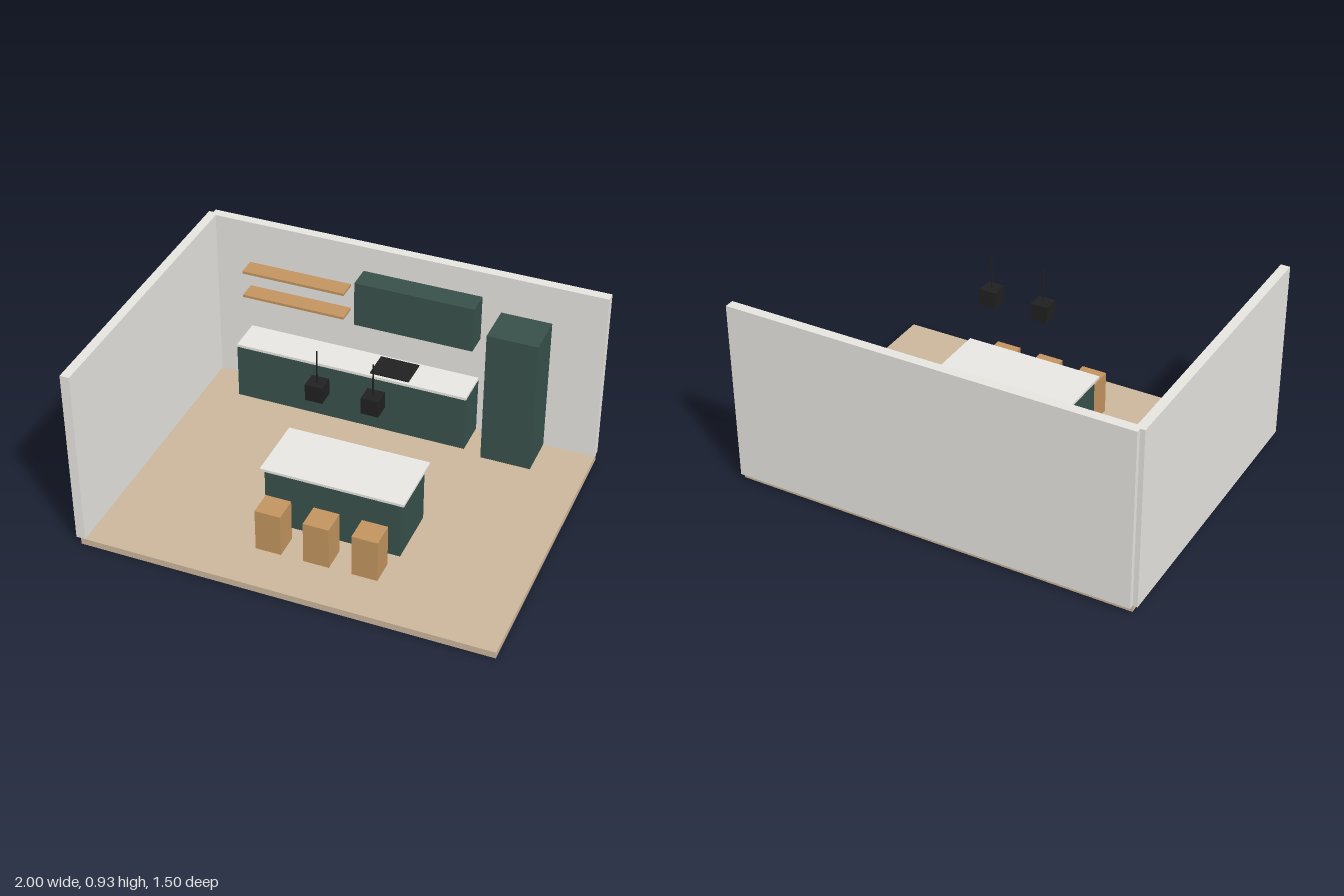
import * as THREE from 'three';

const mat = (name, color) => Object.assign(new THREE.MeshStandardMaterial({ color }), { name });

export function createModel() {
  const room = new THREE.Group();
  room.name = 'kitchen';

  const wall = mat('wall white', 0xe6e4df);
  const stone = mat('counter white', 0xe7e6e2);
  const green = mat('cabinet green', 0x38504a);
  const wood = mat('oak', 0xc2945f);
  const boards = mat('floor tan', 0xcab69b);
  const black = mat('black', 0x202020);

  // Box given by its extents along each axis
  const box = (name, material, [x0, x1], [y0, y1], [z0, z1], parent = room) => {
    const mesh = new THREE.Mesh(new THREE.BoxGeometry(x1 - x0, y1 - y0, z1 - z0), material);
    mesh.position.set((x0 + x1) / 2, (y0 + y1) / 2, (z0 + z1) / 2);
    mesh.name = name;
    parent.add(mesh);
    return mesh;
  };

  const ground = 0.033; // top of the floor slab
  const back = -0.705;  // inner face of the back wall

  // Shell
  box('floor', boards, [-0.977, 1], [0, ground], [-0.728, 0.7525]);
  box('backWall', wall, [-0.977, 1], [ground, 0.925], [-0.7525, back]);
  box('leftWall', wall, [-1, -0.955], [ground, 0.925], [-0.728, 0.7525]);

  // Wall run
  box('baseCabinet', green, [-0.78, 0.403], [ground, 0.32], [back, -0.527]);
  box('countertop', stone, [-0.78, 0.403], [0.32, 0.334], [back, -0.525]);
  box('hob', black, [-0.09, 0.108], [0.334, 0.339], [-0.69, -0.542]);
  box('upperCabinet', green, [-0.19, 0.403], [0.56, 0.793], [back, -0.588]);
  box('tallCabinet', green, [0.497, 0.744], [ground, 0.73], [back, -0.496]);
  for (const y of [0.556, 0.69]) {
    box('shelf', wood, [-0.78, -0.255], [y, y + 0.013], [back, -0.613]);
  }

  // Island
  box('islandBase', green, [-0.252, 0.403], [ground, 0.332], [0.03, 0.326]);
  box('islandTop', stone, [-0.268, 0.422], [0.332, 0.345], [0.012, 0.342]);

  // Stools
  for (const x of [-0.155, 0.077, 0.308]) {
    box('stool', wood, [x - 0.062, x + 0.062], [ground, 0.248], [0.395, 0.518]);
  }

  // Pendant lamps
  for (const x of [-0.056, 0.207]) {
    const lamp = new THREE.Group();
    lamp.name = 'pendantLamp';
    box('shade', black, [x - 0.041, x + 0.041], [0.688, 0.769], [0.136, 0.218], lamp);
    const cord = new THREE.Mesh(new THREE.CylinderGeometry(0.004, 0.004, 0.161, 8), black);
    cord.position.set(x, 0.8495, 0.177);
    cord.name = 'cord';
    lamp.add(cord);
    room.add(lamp);
  }

  return room;
}
